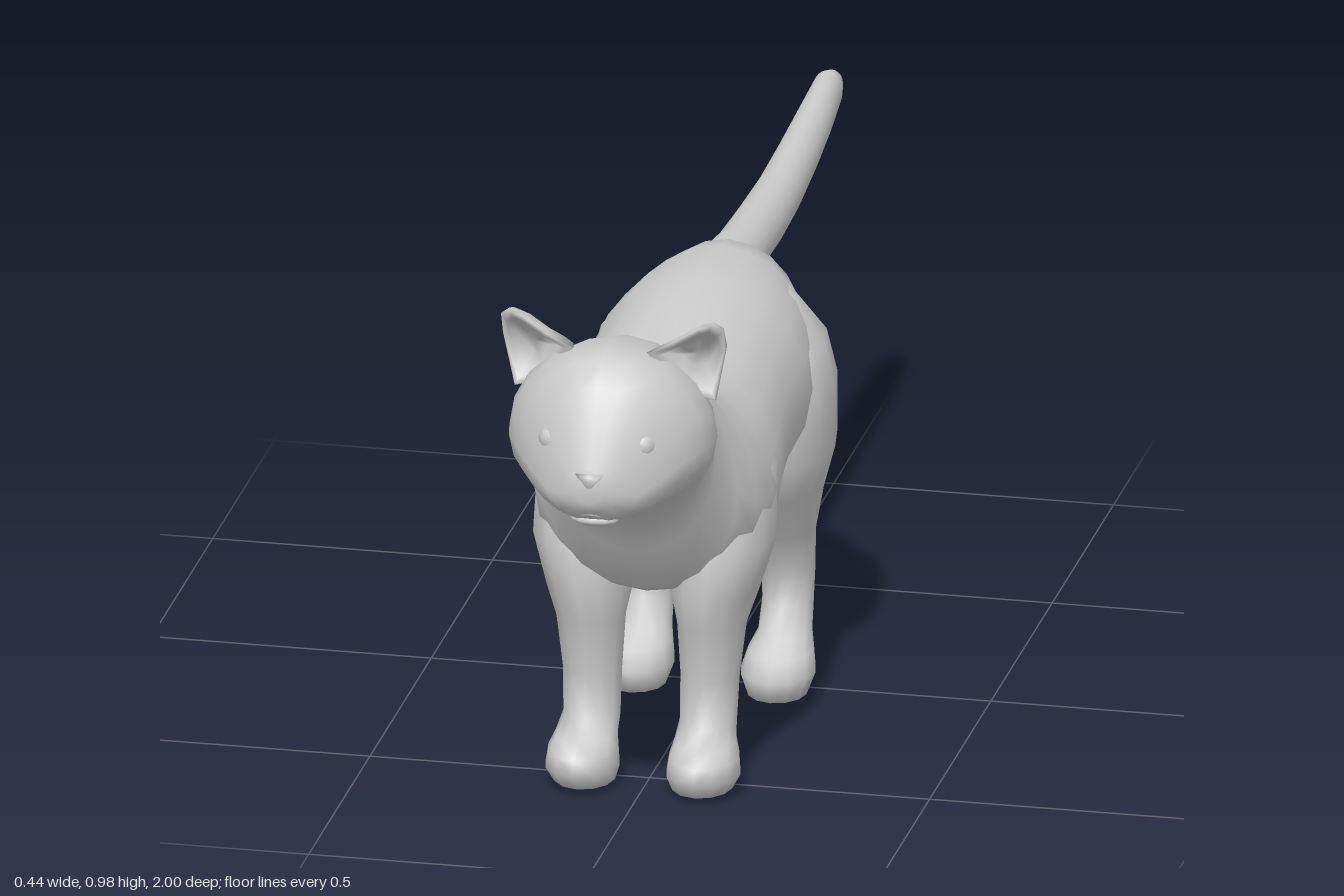
import * as THREE from 'three';

const material = new THREE.MeshStandardMaterial({ color: 0xcccccc });

// Skin a closed surface over rings of [x, y, z] points, capping both ends
function loft(rings) {
  const n = rings[0].length;
  const pos = rings.flat(2);
  const index = [];
  for (let i = 0; i < rings.length - 1; i++) {
    for (let j = 0; j < n; j++) {
      const k = (j + 1) % n;
      const a = i * n + j, b = i * n + k, c = a + n, d = b + n;
      index.push(a, b, d, a, d, c);
    }
  }
  [0, rings.length - 1].forEach((r, end) => {
    const mid = pos.length / 3;
    for (let axis = 0; axis < 3; axis++) pos.push(rings[r].reduce((s, p) => s + p[axis], 0) / n);
    for (let j = 0; j < n; j++) {
      const a = r * n + j, b = r * n + (j + 1) % n;
      index.push(...(end ? [a, b, mid] : [b, a, mid]));
    }
  });
  // Turn the faces outward if the enclosed volume is negative
  const v = i => new THREE.Vector3().fromArray(pos, i * 3);
  let volume = 0;
  for (let i = 0; i < index.length; i += 3) {
    volume += v(index[i]).dot(v(index[i + 1]).cross(v(index[i + 2])));
  }
  if (volume < 0) index.reverse();
  const g = new THREE.BufferGeometry();
  g.setAttribute('position', new THREE.Float32BufferAttribute(pos, 3));
  g.setIndex(index);
  g.computeVertexNormals();
  return g;
}

// Points of a unit circle
const circle = n => Array.from({ length: n }, (_, i) => {
  const a = (i / n) * Math.PI * 2;
  return [Math.cos(a), Math.sin(a)];
});

// Upright egg-shaped ring: z, top, bottom, half width, height of widest point
const bodyRing = ([z, top, bottom, w, mid]) => circle(20).map(([c, s]) =>
  [c * w, mid + s * (s > 0 ? top - mid : mid - bottom), z]);

// Level ring for legs: y, centre x, centre z, x radius, z radius
const legRing = side => ([y, cx, cz, rx, rz]) => circle(12).map(([c, s]) =>
  [side * (cx + c * rx), y, cz + s * rz]);

export function createModel() {
  const cat = new THREE.Group();
  cat.name = 'cat';
  const add = (name, geometry, parent = cat) => {
    const mesh = new THREE.Mesh(geometry, material);
    mesh.name = name;
    parent.add(mesh);
    return mesh;
  };

  // Trunk, neck and head in one skin, from rump to muzzle
  add('bodyAndHead', loft([
    [-0.165, 0.74, 0.54, 0.08, 0.65],
    [-0.14, 0.77, 0.5, 0.13, 0.63],
    [-0.08, 0.78, 0.46, 0.165, 0.6],
    [0, 0.787, 0.43, 0.19, 0.59],
    [0.1, 0.792, 0.4, 0.2, 0.58],
    [0.22, 0.778, 0.375, 0.195, 0.57],
    [0.32, 0.76, 0.375, 0.205, 0.56],
    [0.4, 0.752, 0.37, 0.215, 0.54],
    [0.47, 0.757, 0.36, 0.215, 0.53],
    [0.53, 0.78, 0.36, 0.2, 0.54],
    [0.58, 0.82, 0.385, 0.175, 0.57],
    [0.635, 0.872, 0.47, 0.148, 0.65],
    [0.69, 0.895, 0.545, 0.152, 0.71],
    [0.745, 0.912, 0.59, 0.175, 0.74],
    [0.8, 0.924, 0.62, 0.185, 0.755],
    [0.85, 0.928, 0.627, 0.175, 0.755],
    [0.89, 0.922, 0.63, 0.152, 0.745],
    [0.93, 0.885, 0.634, 0.117, 0.72],
    [0.965, 0.82, 0.648, 0.08, 0.7],
    [0.99, 0.755, 0.672, 0.042, 0.705],
    [0.997, 0.738, 0.69, 0.022, 0.71],
  ].map(bodyRing)));

  // Tail: z, centre y, x radius, y radius
  add('tail', loft([
    [-0.06, 0.715, 0.075, 0.06],
    [-0.15, 0.718, 0.055, 0.051],
    [-0.25, 0.711, 0.047, 0.048],
    [-0.4, 0.704, 0.045, 0.048],
    [-0.55, 0.704, 0.041, 0.047],
    [-0.7, 0.716, 0.037, 0.045],
    [-0.83, 0.732, 0.033, 0.041],
    [-0.95, 0.75, 0.027, 0.038],
    [-0.985, 0.753, 0.02, 0.024],
    [-1, 0.753, 0.009, 0.01],
  ].map(([z, y, rx, ry]) => bodyRing([z, y + ry, y - ry, rx, y]))));

  const frontLeg = [
    [0.68, 0.12, 0.43, 0.04, 0.06],
    [0.58, 0.13, 0.435, 0.083, 0.11],
    [0.45, 0.125, 0.455, 0.092, 0.125],
    [0.36, 0.112, 0.468, 0.078, 0.115],
    [0.3, 0.108, 0.483, 0.062, 0.08],
    [0.2, 0.105, 0.487, 0.053, 0.06],
    [0.115, 0.104, 0.497, 0.051, 0.055],
    [0.09, 0.106, 0.53, 0.055, 0.072],
    [0.07, 0.108, 0.55, 0.062, 0.083],
    [0.04, 0.108, 0.555, 0.066, 0.08],
    [0.012, 0.105, 0.55, 0.054, 0.066],
  ];
  const hindLeg = [
    [0.72, 0.09, -0.03, 0.045, 0.07],
    [0.64, 0.115, -0.015, 0.085, 0.135],
    [0.56, 0.125, -0.01, 0.095, 0.154],
    [0.45, 0.128, -0.008, 0.092, 0.147],
    [0.37, 0.122, -0.022, 0.075, 0.115],
    [0.28, 0.12, -0.047, 0.057, 0.073],
    [0.2, 0.122, -0.076, 0.048, 0.056],
    [0.14, 0.124, -0.062, 0.046, 0.052],
    [0.092, 0.125, -0.035, 0.048, 0.058],
    [0.072, 0.126, 0.005, 0.058, 0.078],
    [0.04, 0.126, 0.027, 0.067, 0.079],
    [0, 0.126, 0.035, 0.052, 0.058],
  ];

  // Ear rim, running from the inner base over the tip to the outer base
  const rim = [
    [0.065, 0.915, 0.82], [0.11, 0.942, 0.825], [0.16, 0.972, 0.82],
    [0.182, 0.977, 0.815], [0.199, 0.962, 0.805], [0.2, 0.92, 0.785],
    [0.18, 0.82, 0.78], [0.12, 0.85, 0.82],
  ];
  const earRing = (side, scale, dz) => rim.map(([x, y, z]) =>
    [side * (0.145 + (x - 0.145) * scale), 0.895 + (y - 0.895) * scale, z + dz]);

  for (const side of [1, -1]) {
    const label = side > 0 ? 'left' : 'right';
    add(label + 'FrontLeg', loft(frontLeg.map(legRing(side))));
    add(label + 'HindLeg', loft(hindLeg.map(legRing(side))));

    // Ear: rounded back, rim, then a hollow facing forward
    add(label + 'Ear', loft([
      earRing(side, 0.3, -0.085), earRing(side, 0.68, -0.058), earRing(side, 0.92, -0.022),
      earRing(side, 1, 0), earRing(side, 0.95, 0.006), earRing(side, 0.8, 0.002),
      earRing(side, 0.62, -0.025), earRing(side, 0.3, -0.04),
    ]));

    // Eye: ball inside a faceted lid
    const eye = new THREE.Group();
    eye.name = label + 'Eye';
    eye.position.set(side * 0.078, 0.783, 0.922);
    eye.rotation.set(-0.15, side * 0.5, 0, 'YXZ');
    add('eyeball', new THREE.SphereGeometry(0.028, 14, 10), eye);
    add('eyelid', new THREE.TorusGeometry(0.032, 0.007, 6, 8), eye).position.z = 0.008;
    cat.add(eye);
  }

  // Nose: small wedge, wide at the top
  add('nose', loft([[0.97, 1], [0.994, 1], [1, 0.6]].map(([z, s]) =>
    [[-0.025, 0.744], [0, 0.747], [0.025, 0.744], [0.006, 0.718], [-0.006, 0.718]]
      .map(([x, y]) => [x * s, 0.733 + (y - 0.733) * s, z]))));

  // Mouth line and lower lip
  const mouth = new THREE.CatmullRomCurve3([
    [-0.058, 0.657, 0.945], [-0.03, 0.659, 0.965], [0, 0.668, 0.983],
    [0.03, 0.659, 0.965], [0.058, 0.657, 0.945],
  ].map(p => new THREE.Vector3(...p)));
  add('mouth', new THREE.TubeGeometry(mouth, 16, 0.004, 5));
  const lip = add('lowerLip', new THREE.SphereGeometry(1, 12, 8));
  lip.scale.set(0.045, 0.014, 0.03);
  lip.position.set(0, 0.649, 0.945);

  return cat;
}
